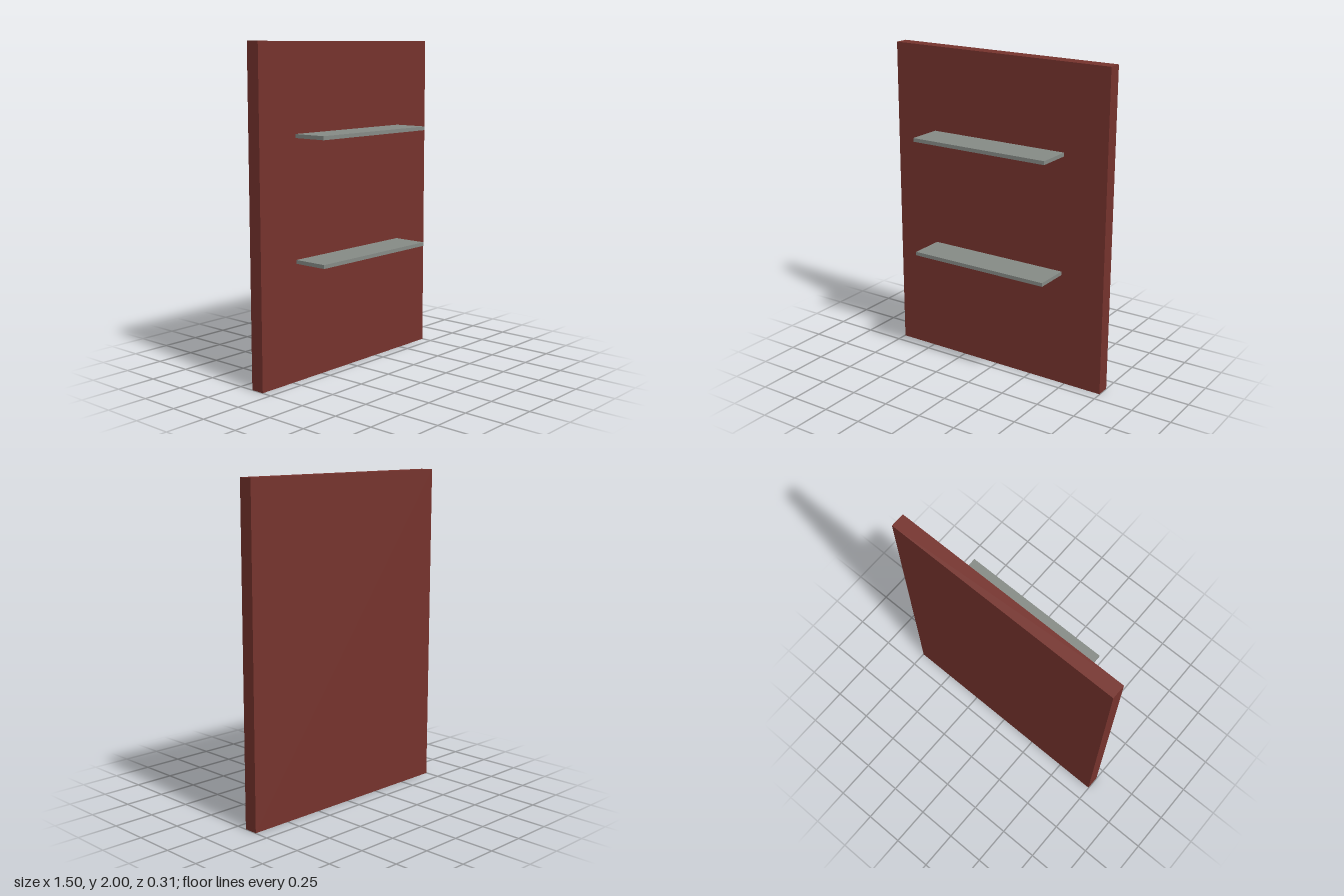
import * as THREE from 'three';

export function createModel() {
  const group = new THREE.Group();
  group.name = 'wallWithShelves';
  const redBrown = new THREE.MeshStandardMaterial({ name: 'redBrown', color: 0x76332d });
  const grey = new THREE.MeshStandardMaterial({ name: 'grey', color: 0x868b86 });

  const addBox = (name, material, [w, h, d], [x, y, z]) => {
    const mesh = new THREE.Mesh(new THREE.BoxGeometry(w, h, d), material);
    mesh.name = name;
    mesh.position.set(x, y, z);
    group.add(mesh);
  };

  // Upright back panel
  const depth = 0.308, panelDepth = 0.087, shelfDepth = depth - panelDepth;
  addBox('backPanel', redBrown, [1.496, 2, panelDepth], [0, 1, (panelDepth - depth) / 2]);

  // Two thin shelves standing out from its front face
  [['lowerShelf', 0.725], ['upperShelf', 1.461]].forEach(([name, y]) =>
    addBox(name, grey, [0.926, 0.023, shelfDepth], [0, y, (depth - shelfDepth) / 2]));

  return group;
}
